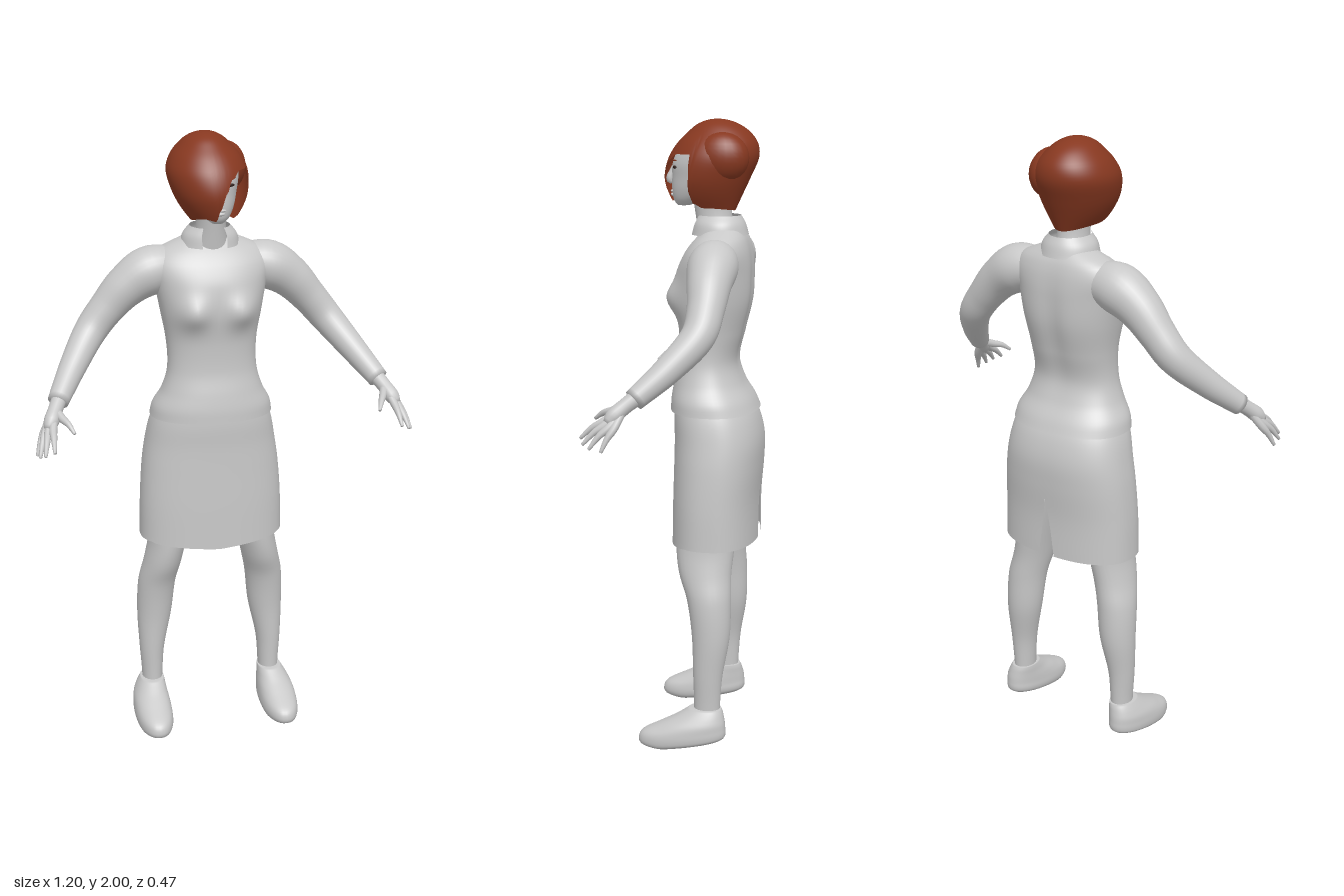
import * as THREE from 'three';
import { mergeVertices } from 'three/addons/utils/BufferGeometryUtils.js';

const { PI, sin, cos, abs, sqrt, exp, sign } = Math;

// Smooth lookup in rows sorted by their first number; bend = 0 eases between rows without overshoot
function at(rows, k, bend = 1) {
  const n = rows.length;
  let i = 0;
  while (i < n - 2 && k > rows[i + 1][0]) i++;
  const a = rows[i], b = rows[i + 1], p = rows[Math.max(i - 1, 0)], q = rows[Math.min(i + 2, n - 1)];
  const h = b[0] - a[0], t = Math.min(1, Math.max(0, (k - a[0]) / h)), s = t * t * (3 - 2 * t);
  return a.map((v, c) => {
    const m0 = bend * h * (b[c] - p[c]) / (b[0] - p[0]), m1 = bend * h * (q[c] - v) / (q[0] - a[0]);
    return v * (1 - s) + b[c] * s + m0 * t * (1 - t) * (1 - t) - m1 * t * t * (1 - t);
  });
}

// Skin over a grid: u runs round, v runs up; cap closes both ends
function surface(nu, nv, fn, cap) {
  const pos = [], index = [];
  const rings = [];
  for (let j = 0; j <= nv; j++) {
    const ring = [];
    for (let i = 0; i <= nu; i++) ring.push(fn(i / nu, j / nv));
    rings.push(ring);
  }
  if (cap) {
    const middle = (r) => {
      const c = [0, 1, 2].map((k) => r.slice(0, nu).reduce((s, p) => s + p[k], 0) / nu);
      return r.map(() => c);
    };
    rings.unshift(middle(rings[0]));
    rings.push(middle(rings[rings.length - 1]));
  }
  rings.forEach((r) => r.forEach((p) => pos.push(...p)));
  const w = nu + 1;
  for (let j = 0; j < rings.length - 1; j++) {
    for (let i = 0; i < nu; i++) {
      const a = j * w + i;
      index.push(a, a + 1, a + w + 1, a, a + w + 1, a + w);
    }
  }
  let g = new THREE.BufferGeometry();
  g.setAttribute('position', new THREE.Float32BufferAttribute(pos, 3));
  g.setIndex(index);
  g = mergeVertices(g, 1e-5);
  g.computeVertexNormals();
  return g;
}

// Oval cross-sections stacked in y; each row is [y, x0, x1, z0, z1]
function loft(rows, { nu = 40, nv = 32, power = 1, cap = true, start = -PI, gap = () => 0, tweak = (p) => p } = {}) {
  const y0 = rows[0][0], y1 = rows[rows.length - 1][0];
  const pw = (v) => sign(v) * abs(v) ** power;
  return surface(nu, nv, (u, v) => {
    const y = y0 + (y1 - y0) * v, [, xa, xb, za, zb] = at(rows, y), g = gap(y);
    const a = start + g + (2 * PI - 2 * g) * u;
    return tweak([(xa + xb) / 2 + abs(xb - xa) / 2 * pw(sin(a)), y, (za + zb) / 2 + (zb - za) / 2 * pw(cos(a))]);
  }, cap);
}

// Tapered limb through points [x, y, z, radius]
function limb(points, nu = 20, nv = 28) {
  const curve = new THREE.CatmullRomCurve3(points.map((p) => new THREE.Vector3(...p)));
  const radii = points.map((p, i) => [i / (points.length - 1), p[3]]);
  const frames = curve.computeFrenetFrames(nv, false);
  return surface(nu, nv, (u, v) => {
    const j = Math.round(v * nv), t = curve.getUtoTmapping(v), r = at(radii, t)[1], a = u * 2 * PI;
    return curve.getPoint(t).addScaledVector(frames.normals[j], r * cos(a))
      .addScaledVector(frames.binormals[j], r * sin(a)).toArray();
  }, true);
}

export function createModel() {
  const model = new THREE.Group();
  const mat = (name, color, side = THREE.FrontSide) => {
    const m = new THREE.MeshStandardMaterial({ color, side });
    m.name = name;
    return m;
  };
  const grey = mat('plain grey', 0xc8c8c8, THREE.DoubleSide);
  const red = mat('auburn hair', 0x873820, THREE.DoubleSide);
  const dark = mat('dark eye', 0x33241f);
  const add = (name, geometry, material = grey) => {
    const m = new THREE.Mesh(geometry, material);
    m.name = name;
    model.add(m);
    return m;
  };
  const blob = (name, material, p, s) => {
    const m = add(name, new THREE.SphereGeometry(1, 24, 16), material);
    m.position.set(...p);
    m.scale.set(...s);
    return m;
  };

  // Jacket body with bust and a shallow groove down the back
  add('jacket', loft([
    [1.092, -0.2, 0.2, -0.222, 0.06], [1.13, -0.192, 0.192, -0.205, 0.058], [1.18, -0.165, 0.165, -0.175, 0.05],
    [1.25, -0.145, 0.145, -0.155, 0.036], [1.34, -0.146, 0.146, -0.175, 0.035], [1.44, -0.163, 0.163, -0.198, 0.045],
    [1.53, -0.18, 0.18, -0.2, 0.04], [1.59, -0.19, 0.19, -0.194, 0.015], [1.63, -0.165, 0.165, -0.183, -0.015],
    [1.65, -0.125, 0.125, -0.172, -0.035], [1.668, -0.08, 0.08, -0.16, -0.045],
  ], {
    nu: 64, nv: 56, power: 0.9, cap: false, tweak: ([x, y, z]) => {
      if (z > -0.04) z += 0.032 * exp(-(((abs(x) - 0.08) / 0.05) ** 2) - ((y - 1.45) / 0.05) ** 2);
      if (z < -0.1) z += 0.012 * exp(-((x / 0.04) ** 2) - ((y - 1.42) / 0.17) ** 2);
      return [x, y, z];
    },
  }));

  // Turned-down collar, open at the front
  add('collar', loft([
    [1.645, -0.095, 0.095, -0.182, 0.0], [1.68, -0.085, 0.085, -0.172, -0.008], [1.705, -0.064, 0.064, -0.158, -0.02],
  ], { nv: 10, cap: false, start: 0, gap: (y) => 0.42 + (y - 1.645) * 2 }));

  // Skirt with a slit at the back and a hem dipping at the front
  add('skirt', loft([
    [0.67, -0.238, 0.238, -0.225, 0.052], [0.8, -0.235, 0.235, -0.225, 0.05], [0.92, -0.226, 0.226, -0.234, 0.047],
    [1.0, -0.214, 0.214, -0.235, 0.046], [1.07, -0.2, 0.2, -0.219, 0.048], [1.13, -0.18, 0.18, -0.19, 0.045],
  ], {
    nu: 64, power: 0.85, cap: false, gap: (y) => Math.max(0, 0.86 - y) * 0.45,
    tweak: ([x, y, z]) => [x, z > 0 ? y - 0.02 * (1 - abs(x) / 0.24) * Math.max(0, 1 - (y - 0.67) / 0.1) : y, z],
  }));

  // Neck and head
  add('neck', loft([
    [1.6, -0.065, 0.065, -0.155, -0.03], [1.7, -0.047, 0.047, -0.13, -0.015], [1.79, -0.05, 0.05, -0.13, 0.0],
  ], { nu: 28, nv: 12 }));
  add('head', loft([
    [1.734, -0.018, 0.018, 0.005, 0.042], [1.748, -0.038, 0.038, -0.04, 0.054], [1.78, -0.058, 0.058, -0.1, 0.06],
    [1.82, -0.071, 0.071, -0.15, 0.06], [1.87, -0.08, 0.08, -0.17, 0.057], [1.92, -0.076, 0.076, -0.165, 0.03],
    [1.955, -0.05, 0.05, -0.13, -0.02], [1.97, -0.02, 0.02, -0.09, -0.05],
  ]));
  add('nose', limb([[0, 1.865, 0.05, 0.006], [0, 1.84, 0.06, 0.009], [0, 1.815, 0.068, 0.012], [0, 1.803, 0.06, 0.007]], 14, 12));
  blob('upperLip', grey, [0, 1.778, 0.058], [0.02, 0.005, 0.007]);
  blob('lowerLip', grey, [0, 1.767, 0.057], [0.016, 0.006, 0.008]);
  for (const s of [1, -1]) {
    blob('eye', dark, [s * 0.036, 1.853, 0.046], [0.014, 0.005, 0.005]).rotation.y = s * 0.4;
    blob('eyebrow', red, [s * 0.038, 1.874, 0.046], [0.017, 0.0025, 0.004]).rotation.y = s * 0.4;
  }

  // Bob hair: rows by root of depth below the crown, cut along an edge height that changes round the head
  const hair = [
    [0, -0.015, -0.015, -0.08, -0.08], [0.122, -0.07, 0.035, -0.145, -0.02], [0.2, -0.1, 0.065, -0.182, 0.012],
    [0.274, -0.127, 0.096, -0.207, 0.046], [0.346, -0.14, 0.113, -0.21, 0.073], [0.424, -0.125, 0.109, -0.185, 0.085],
    [0.48, -0.098, 0.09, -0.162, 0.073], [0.529, -0.06, 0.06, -0.14, 0.05],
  ];
  const hem = [
    [-PI, 1.72], [-1.57, 1.735], [-0.5, 1.752], [-0.12, 1.745], [0.05, 1.785], [0.2, 1.83],
    [0.4, 1.872], [0.7, 1.895], [1.12, 1.895], [1.3, 1.745], [1.6, 1.73], [PI, 1.72],
  ];
  add('hair', surface(96, 30, (u, v) => {
    const a = -PI + 2 * PI * u, q = (1 - v) * sqrt(2 - at(hem, a, 0)[1]);
    const [, xa, xb, za, zb] = at(hair, q);
    return [(xa + xb) / 2 + (xb - xa) / 2 * sin(a), 2 - q * q, (za + zb) / 2 + (zb - za) / 2 * cos(a)];
  }), red);
  blob('hairSweep', red, [0.055, 1.885, -0.105], [0.061, 0.078, 0.085]);

  for (const s of [1, -1]) {
    const side = s > 0 ? 'left' : 'right';
    const flip = (pts) => pts.map(([x, ...rest]) => [s * x, ...rest]);
    const flipRows = (rows) => rows.map(([y, a, b, ...rest]) => [y, s * a, s * b, ...rest]);

    // Sleeve from shoulder through elbow to cuff
    add(side + 'Sleeve', limb(flip([
      [0.1, 1.575, -0.1, 0.06], [0.19, 1.565, -0.1, 0.078], [0.265, 1.52, -0.1, 0.068], [0.33, 1.452, -0.1, 0.057],
      [0.385, 1.385, -0.088, 0.052], [0.455, 1.295, -0.012, 0.043], [0.518, 1.212, 0.08, 0.033],
    ]), 28, 40));

    // Hand: palm, four fingers and thumb fanned from the wrist
    add(side + 'Palm', limb(flip([
      [0.51, 1.222, 0.07, 0.025], [0.53, 1.195, 0.105, 0.023], [0.547, 1.168, 0.135, 0.024], [0.558, 1.148, 0.15, 0.015],
    ]), 16, 12));
    [
      [[0.57, 1.135, 0.13], [0.597, 1.07, 0.163]],
      [[0.568, 1.139, 0.145], [0.592, 1.077, 0.2]],
      [[0.56, 1.144, 0.158], [0.578, 1.087, 0.222]],
      [[0.546, 1.151, 0.166], [0.551, 1.1, 0.234]],
      [[0.514, 1.178, 0.145], [0.485, 1.147, 0.203]],
    ].forEach(([k, t], i) => {
      const mid = k.map((v, c) => (v + t[c]) / 2 + (c === 1 ? 0.006 : 0));
      add(side + (i < 4 ? 'Finger' : 'Thumb'), limb(flip([
        [0.53, 1.195, 0.105, 0.014], [...k, 0.0125], [...mid, 0.0095], [...t, 0.005],
      ]), 10, 14));
    });

    // Leg
    add(side + 'Leg', loft(flipRows([
      [0.1, 0.172, 0.238, -0.128, -0.045], [0.16, 0.17, 0.24, -0.13, -0.045], [0.25, 0.163, 0.246, -0.137, -0.042],
      [0.38, 0.136, 0.251, -0.158, -0.036], [0.5, 0.122, 0.246, -0.16, -0.018], [0.58, 0.105, 0.228, -0.158, 0.01],
      [0.66, 0.088, 0.213, -0.165, 0.022], [0.82, 0.05, 0.205, -0.18, 0.025],
    ]), { nu: 28, nv: 40 }));

    // Shoe, heel slightly raised
    add(side + 'Shoe', loft(flipRows([
      [0.003, 0.175, 0.262, -0.135, 0.11], [0.012, 0.162, 0.276, -0.146, 0.129], [0.03, 0.156, 0.281, -0.15, 0.135],
      [0.055, 0.157, 0.28, -0.149, 0.122], [0.08, 0.16, 0.275, -0.147, 0.075], [0.105, 0.164, 0.264, -0.143, 0.022],
      [0.125, 0.166, 0.254, -0.139, -0.01], [0.14, 0.168, 0.246, -0.134, -0.03],
    ]), {
      nu: 36, nv: 28, power: 0.92,
      tweak: ([x, y, z]) => [x, y + Math.max(0, 0.06 - z) * 0.18 * (1 - y / 0.14), z],
    }));
  }
  return model;
}
